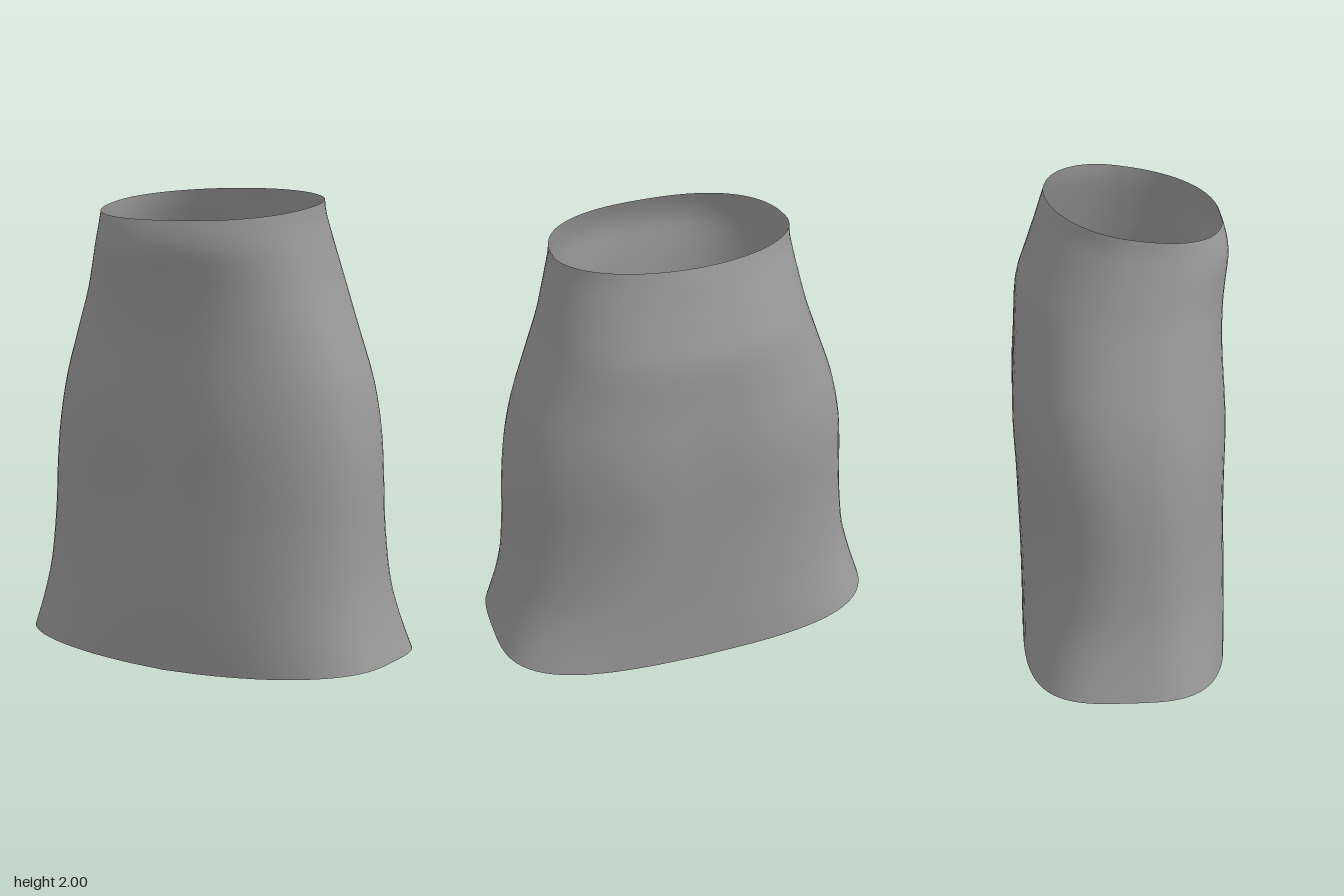
import * as THREE from 'three';

// Cross-sections: height, half width, front z, back z, front squareness, back squareness
const ROWS = [
  [0.055, 0.86, 0.455, -0.43, 3.0, 3.6],
  [0.20, 0.82, 0.46, -0.43, 2.7, 3.0],
  [0.37, 0.785, 0.46, -0.432, 2.5, 2.6],
  [0.60, 0.765, 0.455, -0.438, 2.4, 2.4],
  [0.80, 0.755, 0.452, -0.442, 2.4, 2.4],
  [1.00, 0.735, 0.448, -0.445, 2.4, 2.5],
  [1.20, 0.695, 0.44, -0.445, 2.4, 2.5],
  [1.40, 0.63, 0.435, -0.44, 2.4, 2.4],
  [1.58, 0.57, 0.44, -0.43, 2.4, 2.3],
  [1.70, 0.54, 0.45, -0.39, 2.4, 2.2],
  [1.81, 0.515, 0.46, -0.35, 2.4, 2.1],
  [1.89, 0.50, 0.45, -0.325, 2.4, 2.0],
  [1.95, 0.495, 0.43, -0.305, 2.4, 2.0],
];
const SEGMENTS = 72, STEPS = 3, CENTRE_Z = 0.03;

// Smooth interpolation of one column between rows
function sample(column, t) {
  const i = Math.min(Math.floor(t), ROWS.length - 2), u = t - i;
  const at = k => ROWS[Math.max(0, Math.min(ROWS.length - 1, k))][column];
  const m0 = (at(i + 1) - at(i - 1)) / 2, m1 = (at(i + 2) - at(i)) / 2;
  const u2 = u * u, u3 = u2 * u;
  return (2 * u3 - 3 * u2 + 1) * at(i) + (u3 - 2 * u2 + u) * m0
    + (3 * u2 - 2 * u3) * at(i + 1) + (u3 - u2) * m1;
}

const bump = (d, r) => Math.exp(-(d * d) / (r * r));

function skirtGeometry() {
  const positions = [], indices = [];
  const rings = (ROWS.length - 1) * STEPS;
  for (let r = 0; r <= rings; r++) {
    const [y, w, front, back, nf, nb] = [0, 1, 2, 3, 4, 5].map(c => sample(c, r / STEPS));
    const waist = THREE.MathUtils.smoothstep(y, 1.4, 1.95);
    const hem = 1 - THREE.MathUtils.smoothstep(y, 0.055, 0.6);
    for (let s = 0; s < SEGMENTS; s++) {
      const a = (s / SEGMENTS) * Math.PI * 2, c = Math.cos(a), k = Math.sin(a);
      const n = k >= 0 ? nf : nb;
      const x = w * Math.sign(c) * Math.abs(c) ** (2 / n);
      const depth = Math.abs(k) ** (2 / n);
      let z = CENTRE_Z + depth * ((k >= 0 ? front : back) - CENTRE_Z);
      // Soft fullness over the seat and the front of the hips
      const side = bump(Math.abs(x) - 0.28, 0.2);
      z += (k >= 0 ? 0.012 * bump(y - 1.1, 0.25) : -0.018 * bump(y - 1.1, 0.3)) * side * depth;
      // Waist rises to the back, hem dips at front and back
      const dip = 0.055 * hem * (1 - (Math.abs(x) / w) ** 1.5) * (k >= 0 ? 1 : 0.75);
      positions.push(x, y - 0.15 * z * waist - dip, z);
      if (r < rings) {
        const p = r * SEGMENTS + s, q = r * SEGMENTS + (s + 1) % SEGMENTS;
        indices.push(p, p + SEGMENTS, q, q, p + SEGMENTS, q + SEGMENTS);
      }
    }
  }
  const geometry = new THREE.BufferGeometry();
  geometry.setAttribute('position', new THREE.Float32BufferAttribute(positions, 3));
  geometry.setIndex(indices);
  geometry.computeVertexNormals();
  return geometry;
}

export function createModel() {
  const group = new THREE.Group();
  group.name = 'skirtModel';
  const fabric = new THREE.MeshStandardMaterial({ color: 0x999999, side: THREE.DoubleSide });
  fabric.name = 'grey fabric';
  const skirt = new THREE.Mesh(skirtGeometry(), fabric);
  skirt.name = 'skirt';
  group.add(skirt);
  return group;
}
